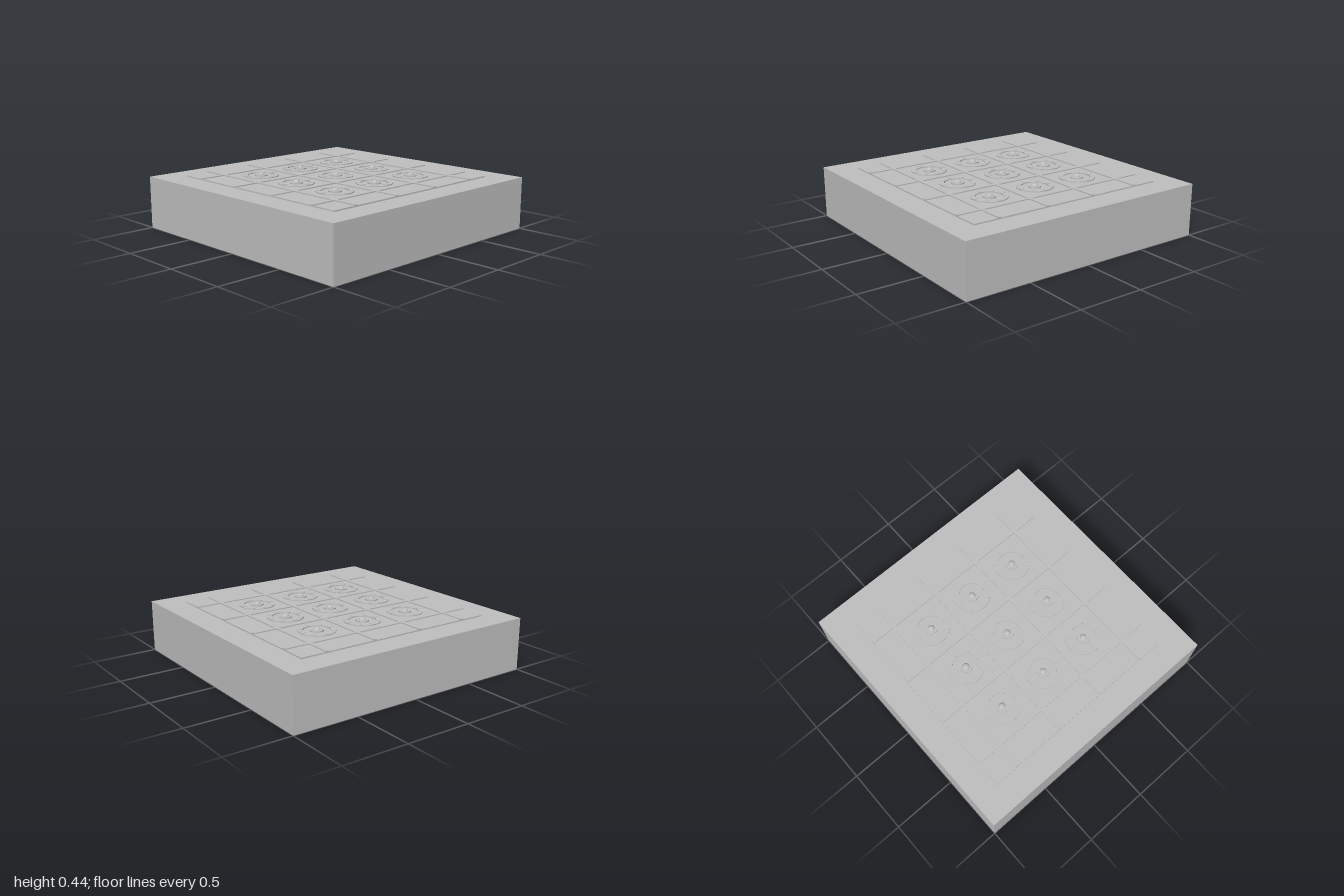
import * as THREE from 'three';

export function createModel() {
  const model = new THREE.Group();
  const stone = new THREE.MeshStandardMaterial({ color: 0xc0c0c0 });
  stone.name = 'grey stone';

  const add = (parent, name, geometry, x, y, z) => {
    const mesh = new THREE.Mesh(geometry, stone);
    mesh.name = name;
    mesh.position.set(x, y, z);
    parent.add(mesh);
    return mesh;
  };

  // Thick slab with a thin raised panel
  add(model, 'slab', new THREE.BoxGeometry(2, 0.4, 2), 0, 0.2, 0);
  add(model, 'panel', new THREE.BoxGeometry(1.6, 0.01, 1.6), 0, 0.405, 0);

  // Lattice of crossing bars
  const lattice = new THREE.Group();
  lattice.name = 'lattice';
  model.add(lattice);
  for (const p of [-0.6, -0.2, 0.2, 0.6]) {
    add(lattice, 'crossBar', new THREE.BoxGeometry(1.6, 0.018, 0.025), 0, 0.409, p);
    add(lattice, 'lengthBar', new THREE.BoxGeometry(0.025, 0.018, 1.6), p, 0.409, 0);
  }

  // Flat ring for the rosettes, lying in the xz plane
  const ringShape = new THREE.Shape().absarc(0, 0, 0.135, 0, Math.PI * 2);
  ringShape.holes.push(new THREE.Path().absarc(0, 0, 0.1, 0, Math.PI * 2, true));
  const ringGeometry = new THREE.ExtrudeGeometry(ringShape, {
    depth: 0.007, bevelEnabled: false, curveSegments: 32,
  }).rotateX(-Math.PI / 2);
  const studGeometry = new THREE.BoxGeometry(0.036, 0.01, 0.022);
  const hubGeometry = new THREE.CylinderGeometry(0.048, 0.048, 0.01, 32);
  const knobGeometry = new THREE.SphereGeometry(0.025, 20, 8, 0, Math.PI * 2, 0, Math.PI / 2)
    .scale(1, 0.6, 1);

  // One rosette in each of the nine middle cells
  for (const x of [-0.4, 0, 0.4]) {
    for (const z of [-0.4, 0, 0.4]) {
      const rosette = new THREE.Group();
      rosette.name = 'rosette';
      rosette.position.set(x, 0.41, z);
      model.add(rosette);
      add(rosette, 'ring', ringGeometry, 0, 0, 0);
      add(rosette, 'hub', hubGeometry, 0, 0.005, 0);
      add(rosette, 'knob', knobGeometry, 0, 0.01, 0);
      for (let i = 0; i < 8; i++) {
        const a = (i * Math.PI) / 4;
        const stud = add(rosette, 'stud', studGeometry, 0.1165 * Math.cos(a), 0.005, -0.1165 * Math.sin(a));
        stud.rotation.y = a;
      }
    }
  }
  return model;
}
